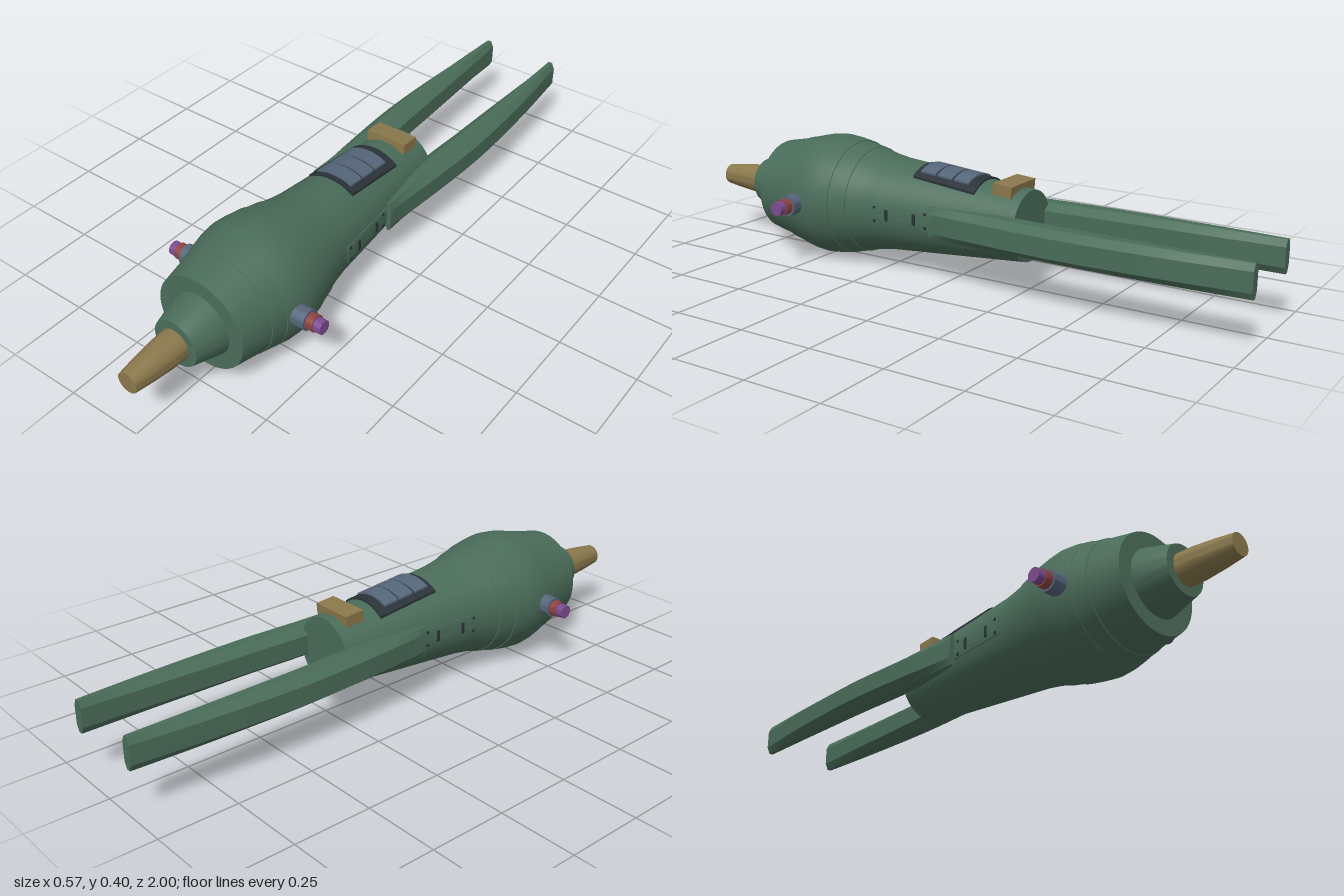
import * as THREE from 'three';
import { toCreasedNormals } from 'three/addons/utils/BufferGeometryUtils.js';

const AXIS_Y = 0.202; // height of the hull's long axis

function material(name, color) {
  const m = new THREE.MeshStandardMaterial({ color });
  m.name = name;
  return m;
}

export function createModel() {
  const model = new THREE.Group();
  model.name = 'ship';
  model.position.y = AXIS_Y;

  const green = material('hull green', 0x4a6c59);
  const tan = material('tan', 0x8a784c);
  const slate = material('slate blue', 0x55667a);
  const red = material('red', 0x8c4442);
  const purple = material('purple', 0x7c4c90);
  const dark = material('dark grey', 0x2a3339);

  function add(name, geometry, mat, parent = model) {
    const mesh = new THREE.Mesh(toCreasedNormals(geometry, 0.4), mat);
    mesh.name = name;
    parent.add(mesh);
    return mesh;
  }

  // Solid of revolution about z, from [z, radius] pairs running back to front
  function turned(name, profile, mat) {
    const points = profile.map(([z, r]) => new THREE.Vector2(r, z));
    return add(name, new THREE.LatheGeometry(points, 64).rotateX(Math.PI / 2), mat);
  }

  // Radius of the tapered rear hull at z
  const rearRadius = (z) => 0.112 + (z + 0.25) * 0.082;

  // Plate bent over the rear hull, turned about z by angle
  function plate(name, width, z0, z1, raise, mat, angle = 0, shift = 0) {
    const g = new THREE.BoxGeometry(width, 1, z1 - z0, 12, 1, 2);
    g.translate(shift, 0, (z0 + z1) / 2);
    const p = g.attributes.position;
    for (let i = 0; i < p.count; i++) {
      const r = rearRadius(p.getZ(i)) + (p.getY(i) > 0 ? raise : -0.006);
      p.setY(i, Math.sqrt(r * r - p.getX(i) ** 2));
    }
    g.rotateZ(angle);
    return add(name, g, mat);
  }

  // Hull, collar and nose
  turned('hull', [
    [-0.25, 0], [-0.25, 0.112], [0.24, 0.152], [0.29, 0.16], [0.34, 0.171],
    [0.341, 0.174], [0.40, 0.186], [0.401, 0.189], [0.45, 0.197], [0.49, 0.201],
    [0.53, 0.197], [0.57, 0.188], [0.571, 0.186], [0.62, 0.176], [0.621, 0.173],
    [0.72, 0.154], [0.72, 0],
  ], green);
  turned('collar', [[0.71, 0], [0.71, 0.106], [0.72, 0.105], [0.82, 0.077], [0.82, 0]], green);
  turned('nose', [
    [0.81, 0], [0.81, 0.05], [0.87, 0.049], [0.94, 0.042], [1, 0.034], [1, 0],
  ], tan);

  // Rear prongs: an eight-sided bar bent between inner and outer curves
  const curve = (xs) => new THREE.SplineCurve(
    [-1, -0.75, -0.45, -0.2, 0.03].map((z, i) => new THREE.Vector2(z, xs[i])));
  const outer = curve([0.146, 0.169, 0.182, 0.172, 0.153]);
  const inner = curve([0.112, 0.1, 0.088, 0.082, 0.132]);
  const section = new THREE.Shape([
    [-0.2, -0.051], [0.2, -0.051], [0.5, -0.03], [0.5, 0.03],
    [0.2, 0.051], [-0.2, 0.051], [-0.5, 0.03], [-0.5, -0.03],
  ].map(([x, y]) => new THREE.Vector2(x, y)));

  function prong(name, side) {
    const g = new THREE.ExtrudeGeometry(section, { depth: 1, steps: 20, bevelEnabled: false });
    const p = g.attributes.position;
    for (let i = 0; i < p.count; i++) {
      const o = outer.getPoint(p.getZ(i));
      const n = inner.getPoint(p.getZ(i));
      p.setX(i, side * (o.y + n.y) / 2 + p.getX(i) * (o.y - n.y));
      p.setZ(i, o.x);
    }
    add(name, g, green);
  }

  // Side emitter: three shrinking drums pointing outward
  function emitter(name, side) {
    const group = new THREE.Group();
    group.name = name;
    group.position.z = 0.53;
    const drums = [
      ['emitterBase', 0.033, 0.17, 0.235, slate],
      ['emitterRing', 0.026, 0.23, 0.26, red],
      ['emitterTip', 0.022, 0.255, 0.285, purple],
    ];
    for (const [part, r, x0, x1, mat] of drums) {
      const g = new THREE.CylinderGeometry(r, r, x1 - x0, 32).rotateZ(Math.PI / 2);
      g.translate(side * (x0 + x1) / 2, 0, 0);
      add(part, g, mat, group);
    }
    model.add(group);
  }

  for (const [label, side] of [['left', 1], ['right', -1]]) {
    prong(label + 'Prong', side);
    emitter(label + 'Emitter', side);

    // Side panel with two slots and four corner studs
    const turn = -side * Math.PI / 2;
    plate(label + 'SidePanel', 0.06, 0.02, 0.25, 0.003, green, turn);
    for (const z of [0.09, 0.19]) {
      plate(label + 'Slot', 0.036, z - 0.005, z + 0.005, 0.006, dark, turn);
    }
    for (const z of [0.05, 0.235]) {
      for (const y of [-0.022, 0.022]) {
        plate(label + 'Stud', 0.008, z - 0.004, z + 0.004, 0.006, dark, turn, y);
      }
    }
  }

  // Top grille: dark frame with three slats
  plate('grilleFrame', 0.166, -0.095, 0.132, 0.006, dark);
  for (let i = 0; i < 3; i++) {
    const z = -0.063 + i * 0.062;
    plate('grilleSlat', 0.128, z, z + 0.054, 0.011, slate);
  }

  // Tan block on top of the tail
  const block = add('tailBlock', new THREE.BoxGeometry(0.142, 0.036, 0.066), tan);
  block.position.set(0, 0.116, -0.186);
  block.rotation.x = -0.08;

  return model;
}
